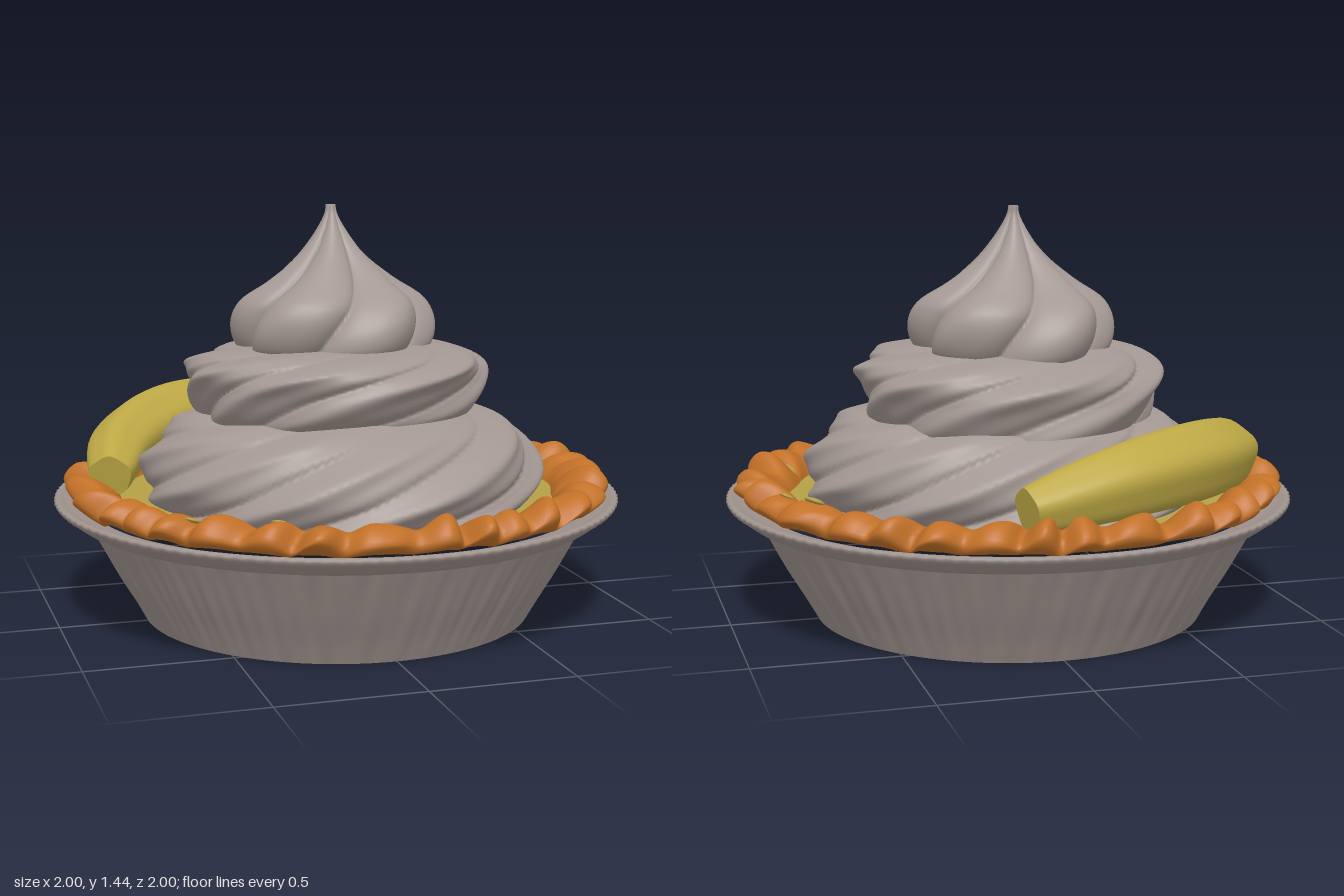
import * as THREE from 'three';

const mat = (name, color) => {
  const m = new THREE.MeshStandardMaterial({ color });
  m.name = name;
  return m;
};

// Smooth surface through closed loops, stacked upwards; caps close the ends with flat fans.
function loft(name, material, segs, rows, fn, capStart = false, capEnd = false) {
  const pos = [], idx = [];
  for (let i = 0; i <= rows; i++)
    for (let j = 0; j < segs; j++) pos.push(...fn((j / segs) * Math.PI * 2, i / rows));
  for (let i = 0; i < rows; i++)
    for (let j = 0; j < segs; j++) {
      const a = i * segs + j, b = i * segs + ((j + 1) % segs);
      idx.push(a, a + segs, b, b, a + segs, b + segs);
    }
  const cap = (row, flip) => {
    const start = pos.length / 3, c = [0, 0, 0];
    for (let j = 0; j < segs; j++) {
      const k = (row * segs + j) * 3;
      for (let n = 0; n < 3; n++) c[n] += pos[k + n] / segs;
      pos.push(pos[k], pos[k + 1], pos[k + 2]);
    }
    pos.push(...c);
    for (let j = 0; j < segs; j++) {
      const p = start + j, q = start + ((j + 1) % segs);
      idx.push(start + segs, flip ? q : p, flip ? p : q);
    }
  };
  if (capStart) cap(0, false);
  if (capEnd) cap(rows, true);
  const g = new THREE.BufferGeometry();
  g.setAttribute('position', new THREE.Float32BufferAttribute(pos, 3));
  g.setIndex(idx);
  g.computeVertexNormals();
  const mesh = new THREE.Mesh(g, material);
  mesh.name = name;
  return mesh;
}

// Smooth (radius, height) profile
function profile(points) {
  const c = new THREE.CatmullRomCurve3(points.map(([r, y]) => new THREE.Vector3(r, y, 0)), false, 'centripetal');
  return (v) => c.getPoint(v);
}

const { sin, cos, abs, PI, pow, min, exp } = Math;

export function createModel() {
  const model = new THREE.Group();
  model.name = 'creamPie';
  const tin = mat('tin grey', 0xa0938e);
  const cream = mat('cream grey', 0xa49893);
  const crustMat = mat('crust orange', 0xc27128);
  const filling = mat('filling yellow', 0xb5a046);
  const fruit = mat('banana yellow', 0xbda845);

  // Tin: crinkled sloping wall, flared rim with a finely serrated edge
  const wall = profile([[0.69, 0], [0.735, 0.085], [0.79, 0.18], [0.845, 0.28], [0.885, 0.352]]);
  model.add(loft('tinWall', tin, 360, 16, (t, v) => {
    const p = wall(v);
    const r = p.x + 0.003 * sin(PI * v) * (sin(80 * t + 3 * sin(5 * t)) + sin(37 * t + 2 * v));
    return [r * cos(t), p.y, r * sin(t)];
  }, true));
  const rim = profile([[0.885, 0.352], [0.925, 0.362], [0.965, 0.39], [0.99, 0.41], [0.996, 0.425], [0.983, 0.432], [0.95, 0.418], [0.88, 0.4], [0.84, 0.37]]);
  model.add(loft('tinRim', tin, 480, 20, (t, v) => {
    const p = rim(v), r = p.x + (p.x > 0.98 ? 0.003 * sin(120 * t) : 0);
    return [r * cos(t), p.y, r * sin(t)];
  }));

  // Filling: shallow disc under the cream
  model.add(loft('filling', filling, 96, 6, (t, v) => {
    const r = 0.84 - 0.54 * v;
    return [r * cos(t), 0.415 + 0.01 * min(1, v * 6), r * sin(t)];
  }, false, true));

  // Crust: irregularly crimped pastry ring, reaching inwards beside the banana's end
  const crustLine = profile([[0.87, 0.41], [0.925, 0.425], [0.945, 0.455], [0.91, 0.492], [0.865, 0.497], [0.825, 0.48], [0.79, 0.45], [0.762, 0.4]]);
  const crustAt = (t, v) => {
    const p = crustLine(v);
    const phase = 34 * t + 1.1 * sin(5 * t) + 0.9 * sin(9 * t + 1) + 3.5 * v;
    const w = 1 - 2 * pow(abs(cos(phase / 2 + 0.35 * sin(phase))), 1.2);
    const weight = sin(PI * min(1, v * 1.05)) * (1 + 0.35 * sin(13 * t + 2));
    const reach = v * v * exp(-(((t - 4.8) / 0.15) ** 2));
    const r = p.x + weight * ((1 - v) * 0.038 * w + 0.008 * sin(11 * t)) + 0.01 * v * sin(13 * t) - 0.1 * reach;
    const y = p.y + weight * (0.02 * w + 0.01 * sin(23 * t + 9 * v)) + 0.03 * reach;
    return [r * cos(t), y, r * sin(t)];
  };
  model.add(loft('crust', crustMat, 540, 24, crustAt));

  // Small filling spots showing through the crust
  for (const [t, size] of [[-0.5, 0.034], [-0.28, 0.025], [-0.07, 0.038], [0.49, 0.034], [2.07, 0.025], [2.42, 0.025]]) {
    const spot = new THREE.Mesh(new THREE.SphereGeometry(size, 14, 8), filling);
    spot.name = 'fillingSpot';
    spot.scale.set(1, 0.3, 1.1);
    spot.position.set(...crustAt(t, 0.62));
    spot.rotation.set(0, -t, 0.45);
    model.add(spot);
  }

  // Whipped cream: three swirled tiers with twisted, creased ridges
  const tiers = [
    { name: 'creamBottomTier', n: 8, twist: 2.3, depth: 0.075, tilt: 0.005, x: 0.01, z: 0.03, lean: 0,
      pts: [[0.68, 0.4], [0.7, 0.45], [0.715, 0.53], [0.665, 0.625], [0.575, 0.695], [0.43, 0.735], [0.3, 0.75]] },
    { name: 'creamMiddleTier', n: 7, twist: 2.4, depth: 0.09, tilt: 0.045, x: 0, z: -0.01, lean: 0,
      pts: [[0.44, 0.65], [0.5, 0.72], [0.53, 0.81], [0.54, 0.88], [0.475, 0.925], [0.35, 0.95], [0.22, 0.96]] },
    { name: 'creamTopTier', n: 6, twist: 1.2, depth: 0.24, tilt: 0.012, x: -0.005, z: -0.03, lean: -0.02,
      pts: [[0.28, 0.89], [0.345, 0.95], [0.36, 1.03], [0.33, 1.105], [0.225, 1.18], [0.128, 1.26], [0.058, 1.345], [0.022, 1.41], [0.017, 1.44]] },
  ];
  for (const s of tiers) {
    const line = profile(s.pts);
    model.add(loft(s.name, cream, 252, 40, (t, v) => {
      const p = line(v);
      const a = t + s.twist * v + 0.15 * sin(2 * t + s.n);
      const valley = 1 - pow(abs(sin(s.n * a / 2)), 0.7);
      const crease = 0.012 * sin(s.n * 2 * a + 1) * sin(PI * v);
      const uneven = 0.014 * sin(3 * t + 4 * v + s.n) * (1 - v);
      const r = p.x * (1 - s.depth * valley + uneven + crease);
      const y = p.y + s.tilt * sin(t) * (1 - v) - 0.03 * valley * sin(PI * v) * (1 - v);
      return [s.x + r * cos(t), y, s.z + s.lean * v + r * sin(t)];
    }, false, true));
  }

  // Banana: arched, softly five-sided piece with tapered, cut ends
  const path = new THREE.CatmullRomCurve3([
    [-0.805, 0.515, -0.045], [-0.72, 0.575, -0.28], [-0.515, 0.61, -0.54], [-0.22, 0.605, -0.73], [0.165, 0.54, -0.825],
  ].map((p) => new THREE.Vector3(...p)));
  const up = new THREE.Vector3(0, 1, 0);
  model.add(loft('banana', fruit, 40, 36, (t, v) => {
    const c = path.getPointAt(v), dir = path.getTangentAt(v);
    const side = new THREE.Vector3().crossVectors(dir, up).normalize();
    const above = new THREE.Vector3().crossVectors(side, dir);
    const size = (0.055 + 0.074 * pow(sin(PI * (0.03 + 0.94 * v)), 0.6)) * (1 + 0.045 * cos(5 * (t - PI / 2)));
    c.addScaledVector(side, size * cos(t)).addScaledVector(above, size * sin(t));
    return [c.x, c.y, c.z];
  }, true, true));

  return model;
}
